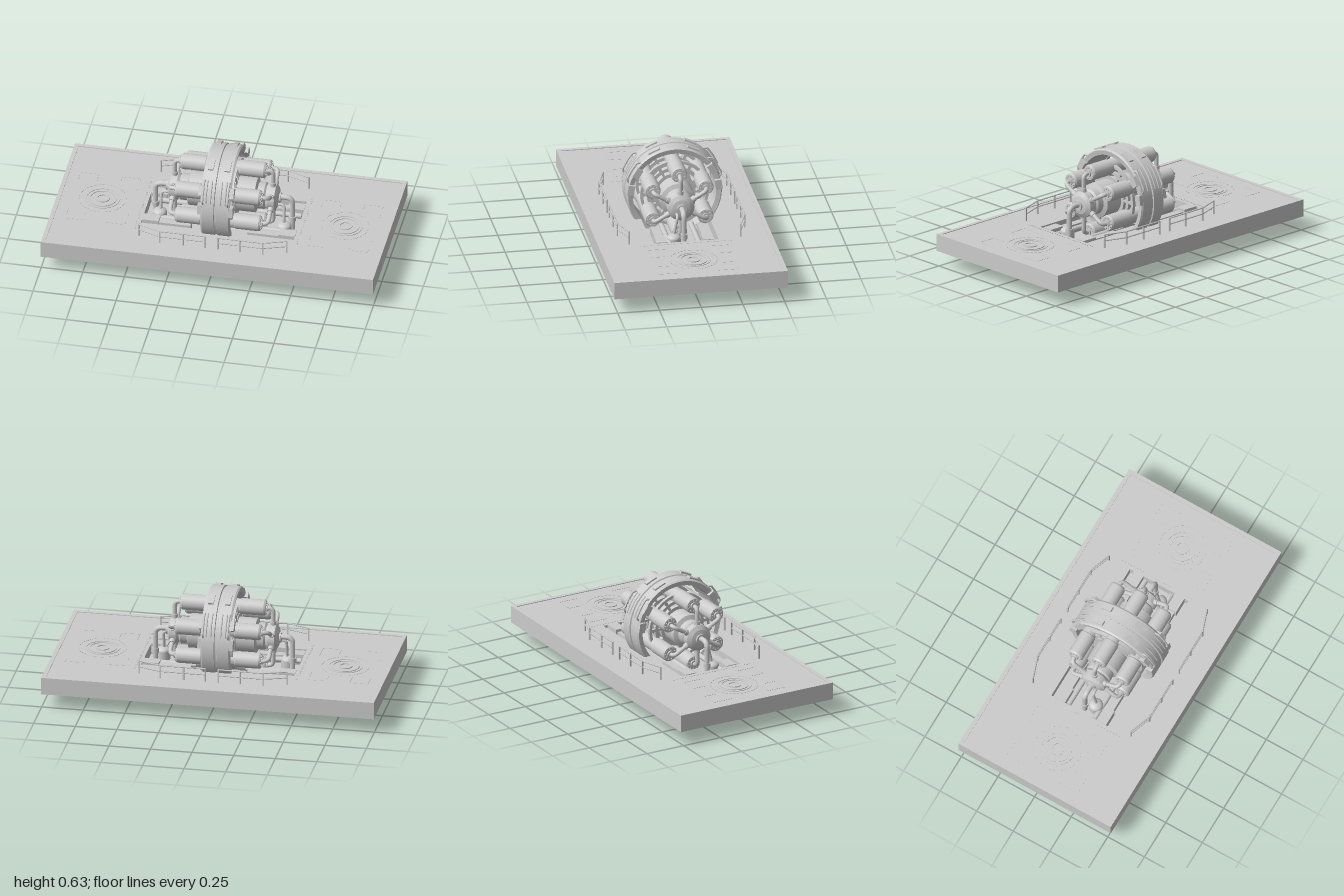
import * as THREE from 'three';

const V = (x, y, z) => new THREE.Vector3(x, y, z);
const mat = new THREE.MeshStandardMaterial({ color: 0xcccccc, side: THREE.DoubleSide });
const AXIS = 0.345; // height of the engine axis
const PIT = [0.46, 0.2]; // half size of the pit

export function createModel() {
  const model = new THREE.Group();

  const add = (name, geo, x = 0, y = 0, z = 0, parent = model) => {
    const m = new THREE.Mesh(geo, mat);
    m.name = name;
    m.position.set(x, y, z);
    parent.add(m);
    return m;
  };
  const box = (name, w, h, d, x, y, z, parent) => add(name, new THREE.BoxGeometry(w, h, d), x, y, z, parent);
  const group = (name, parent = model) => {
    const g = new THREE.Group();
    g.name = name;
    parent.add(g);
    return g;
  };
  // flat shape in x/z, extruded upward from y0 to y1
  const slab = (name, shape, y0, y1) =>
    add(name, new THREE.ExtrudeGeometry(shape, { depth: y1 - y0, bevelEnabled: false }).rotateX(-Math.PI / 2), 0, y0, 0);
  const rect = (w, d, c = 0, T = THREE.Shape) =>
    new T([[-w + c, -d], [w - c, -d], [w, -d + c], [w, d - c], [w - c, d], [-w + c, d], [-w, d - c], [-w, -d + c]]
      .map(p => new THREE.Vector2(...p)));
  // lathe profile [radius, x] turned about the x axis, s flips its direction
  const turned = (pts, s = 1, seg = 32) =>
    new THREE.LatheGeometry(pts.map(p => new THREE.Vector2(...p)), seg).rotateZ(-s * Math.PI / 2);
  // hard-edged turned part: every profile segment gets its own normals
  const turnedHard = (name, pts, s, x, y, z, parent, seg = 32) => {
    for (let i = 0; i < pts.length - 1; i++) add(name, turned([pts[i], pts[i + 1]], s, seg), x, y, z, parent);
  };
  // pipe with rounded corners
  const pipe = (name, pts, r, parent, bend = 0.025, seg = 10) => {
    const path = new THREE.CurvePath();
    let last = pts[0];
    for (let i = 1; i < pts.length - 1; i++) {
      const a = pts[i].clone().add(pts[i - 1].clone().sub(pts[i]).setLength(bend));
      const b = pts[i].clone().add(pts[i + 1].clone().sub(pts[i]).setLength(bend));
      path.add(new THREE.LineCurve3(last, a));
      path.add(new THREE.QuadraticBezierCurve3(a, pts[i], b));
      last = b;
    }
    path.add(new THREE.LineCurve3(last, pts[pts.length - 1]));
    return add(name, new THREE.TubeGeometry(path, pts.length * 10, r, seg), 0, 0, 0, parent);
  };
  const ringFlat = (name, ri, ro, h, x, y, z, parent) => {
    const pts = [[ri, 0], [ri, h], [ro, h], [ro, 0]].map(p => new THREE.Vector2(...p));
    for (let i = 0; i < 3; i++) add(name, new THREE.LatheGeometry([pts[i], pts[i + 1]], 40), x, y, z, parent);
  };

  // deck with a pit opening, a raised rim and thin skirt walls
  const deckShape = rect(0.995, 0.515);
  deckShape.holes.push(rect(...PIT, 0, THREE.Path));
  slab('deck', deckShape, 0.175, 0.191);
  const rim = rect(1, 0.52);
  rim.holes.push(rect(0.975, 0.495, 0, THREE.Path));
  slab('deckRim', rim, 0.185, 0.195);
  for (const s of [-1, 1]) {
    box('skirtLong', 2, 0.105, 0.008, 0, 0.1425, s * 0.516);
    box('skirtEnd', 0.008, 0.105, 1.04, s * 0.996, 0.1425, 0);
  }

  // under-deck hull, pit floor and keel
  const hull = rect(0.92, 0.28, 0.06);
  hull.holes.push(rect(...PIT, 0, THREE.Path));
  slab('hull', hull, 0.092, 0.175);
  box('pitFloor', 2 * PIT[0], 0.035, 2 * PIT[1], 0, 0.11, 0);
  box('keel', 0.21, 0.095, 0.55, 0, 0.0475, 0);
  for (const s of [-1, 1]) {
    add('drain', new THREE.CylinderGeometry(0.035, 0.03, 0.01, 16), s * 0.38, 0.088, 0.04);
    for (const z of [-0.18, 0, 0.18])
      add('endPort', new THREE.CylinderGeometry(0.025, 0.025, 0.02, 16).rotateZ(Math.PI / 2), s * 0.925, 0.135, z);
  }

  // round deck pads with dashed outer circle and panel strips
  for (const s of [-1, 1]) {
    const pad = group('deckPad');
    pad.position.set(s * 0.73, 0.19, 0);
    for (const [ri, ro, h] of [[0.095, 0.105, 0.004], [0.072, 0.085, 0.005], [0.03, 0.042, 0.006]])
      ringFlat('padRing', ri, ro, h, 0, 0, 0, pad);
    for (let i = 0; i < 36; i++) {
      const a = i * Math.PI / 18;
      box('padDash', 0.004, 0.004, 0.016, 0.14 * Math.cos(a), 0.001, 0.14 * Math.sin(a), pad).rotation.y = -a;
    }
    for (const t of [-1, 1]) {
      for (const u of [-1, 1]) {
        box('panelLine', 0.1, 0.003, 0.004, u * 0.13, 0.001, t * 0.24, pad);
        box('panelLine', 0.004, 0.003, 0.12, u * 0.18, 0.001, t * 0.18, pad);
        box('panelLine', 0.004, 0.003, 0.08, u * 0.07, 0.001, t * 0.2, pad);
      }
    }
    for (let i = 0; i < 28; i++) box('deckGrille', 0.01, 0.004, 0.01, s * 0.485, 0.191, -0.27 + i * 0.02);
  }

  // guard rails at the four corners of the engine bay
  for (const s of [-1, 1]) for (const t of [-1, 1]) {
    const rail = group('guardRail');
    const P = (x, z, y) => V(s * x, y, t * z);
    for (const y of [0.235, 0.272])
      pipe('railBar', [P(0.04, 0.382, y), P(0.31, 0.382, y), P(0.445, 0.335, y)], 0.004, rail, 0.008, 6);
    for (const [x, z] of [[0.04, 0.382], [0.17, 0.382], [0.31, 0.382], [0.445, 0.335]])
      box('railPost', 0.008, 0.086, 0.008, s * x, 0.232, t * z, rail);
  }

  // engine, centred on its own axis
  const engine = group('engine');
  engine.position.y = AXIS;

  // big outer hoop made of two bands and a central groove
  turnedHard('hoop', [[0.25, -0.085], [0.278, -0.09], [0.285, -0.08], [0.285, -0.008], [0.277, -0.005],
    [0.277, 0.005], [0.285, 0.008], [0.285, 0.08], [0.278, 0.09], [0.25, 0.085], [0.25, -0.085]], 1, 0, 0, 0, engine, 72);
  for (const s of [-1, 1]) for (const t of [-1, 1]) {
    // long ribs on the flanks
    for (const x of [0.03, 0.058])
      add('hoopRib', new THREE.TorusGeometry(0.285, 0.006, 6, 16, 0.5).rotateZ(0.3).rotateY(-t * Math.PI / 2), s * x, 0, 0, engine);
    // pads near the crown and lugs on the sides
    const crown = group('crownPad', engine);
    crown.rotation.x = t * 0.42;
    box('crownPad', 0.032, 0.014, 0.075, s * 0.05, 0.286, 0, crown);
    for (const a of [1.0, 1.42]) {
      const lug = group('sideLug', engine);
      lug.rotation.x = t * a;
      box('sideLug', 0.025, 0.04, 0.06, s * 0.094, 0.265, 0, lug);
    }
    // hand grips
    const G = (a, r) => V(s * 0.075, r * Math.sin(a), t * r * Math.cos(a));
    pipe('handGrip', [G(0.28, 0.28), G(0.34, 0.302), G(0.56, 0.3), G(0.74, 0.302), G(0.8, 0.28)], 0.006, engine, 0.012, 8);
  }

  // slotted discs inside the hoop
  const disc = new THREE.Shape().absarc(0, 0, 0.205, 0, Math.PI * 2);
  for (const [ri, ro] of [[0.165, 0.188], [0.125, 0.145]])
    for (let i = 0; i < 12; i++) {
      const a = i * Math.PI / 6 + 0.05, b = a + Math.PI / 6 - 0.1;
      disc.holes.push(new THREE.Path().absarc(0, 0, ro, a, b).absarc(0, 0, ri, b, a, true));
    }
  const discGeo = new THREE.ExtrudeGeometry(disc, { depth: 0.02, bevelEnabled: false, curveSegments: 40 })
    .translate(0, 0, -0.01).rotateY(Math.PI / 2);
  for (const s of [-1, 1]) add('slottedDisc', discGeo, s * 0.08, 0, 0, engine);

  // core shaft, hubs, cylinders and their pipes
  turnedHard('core', [[0.105, -0.2], [0.105, 0.2]], 1, 0, 0, 0, engine);
  for (const s of [-1, 1]) {
    turnedHard('hub', [[0.105, 0.2], [0.08, 0.21], [0.08, 0.25], [0.07, 0.26], [0.08, 0.275], [0.08, 0.315],
      [0.055, 0.33], [0.03, 0.335], [0.03, 0.345], [0, 0.345]], s, 0, 0, 0, engine, 24);
    for (let i = 0; i < 6; i++) {
      const arm = group('cylinderArm', engine);
      arm.rotation.x = i * Math.PI / 3;
      turnedHard('cylinder', [[0.044, 0], [0.044, 0.1], [0.048, 0.105], [0.048, 0.245], [0.042, 0.255],
        [0.022, 0.255], [0.022, 0.265], [0, 0.265]], s, 0, 0.183, 0, arm, 24);
      for (let k = 0; k < 10; k++) {
        const a = k * Math.PI / 5;
        add('endBolt', new THREE.CylinderGeometry(0.005, 0.005, 0.008, 8).rotateZ(Math.PI / 2),
          s * 0.257, 0.183 + 0.032 * Math.cos(a), 0.032 * Math.sin(a), arm);
      }
      pipe('feedPipe', [V(s * 0.255, 0.183, 0), V(s * 0.296, 0.183, 0), V(s * 0.296, 0.06, 0)], 0.013, arm, 0.03);
      add('pipeCollar', new THREE.CylinderGeometry(0.018, 0.018, 0.025, 14), s * 0.296, 0.088, 0, arm);
    }
    // exhaust from the hub down to the pit, with a side branch into a dome
    pipe('exhaustPipe', [V(s * 0.33, 0.005, 0), V(s * 0.412, 0.005, 0), V(s * 0.412, -0.215, 0)], 0.016, engine, 0.04, 12);
    add('exhaustCollar', new THREE.CylinderGeometry(0.022, 0.022, 0.03, 14), s * 0.412, -0.14, 0, engine);
    pipe('branchPipe', [V(s * 0.31, -0.03, 0.03), V(s * 0.37, -0.03, 0.03), V(s * 0.37, -0.15, 0.055)], 0.009, engine);
    add('dome', new THREE.SphereGeometry(0.042, 20, 10, 0, Math.PI * 2, 0, Math.PI / 2).scale(1, 0.6, 1), s * 0.375, 0.182, 0.055);
    add('domeBase', new THREE.CylinderGeometry(0.042, 0.042, 0.06, 20), s * 0.375, 0.152, 0.055);

    // stepped supports and ducts lying in the pit
    for (const t of [-1, 1]) {
      box('supportBlock', 0.1, 0.07, 0.065, s * 0.41, 0.16, t * 0.14);
      box('supportNeck', 0.2, 0.055, 0.045, s * 0.27, 0.152, t * 0.14);
      add('duct', new THREE.CylinderGeometry(0.016, 0.016, 0.3, 12).rotateZ(Math.PI / 2), s * 0.3, 0.165, t * 0.088);
    }
  }
  return model;
}
